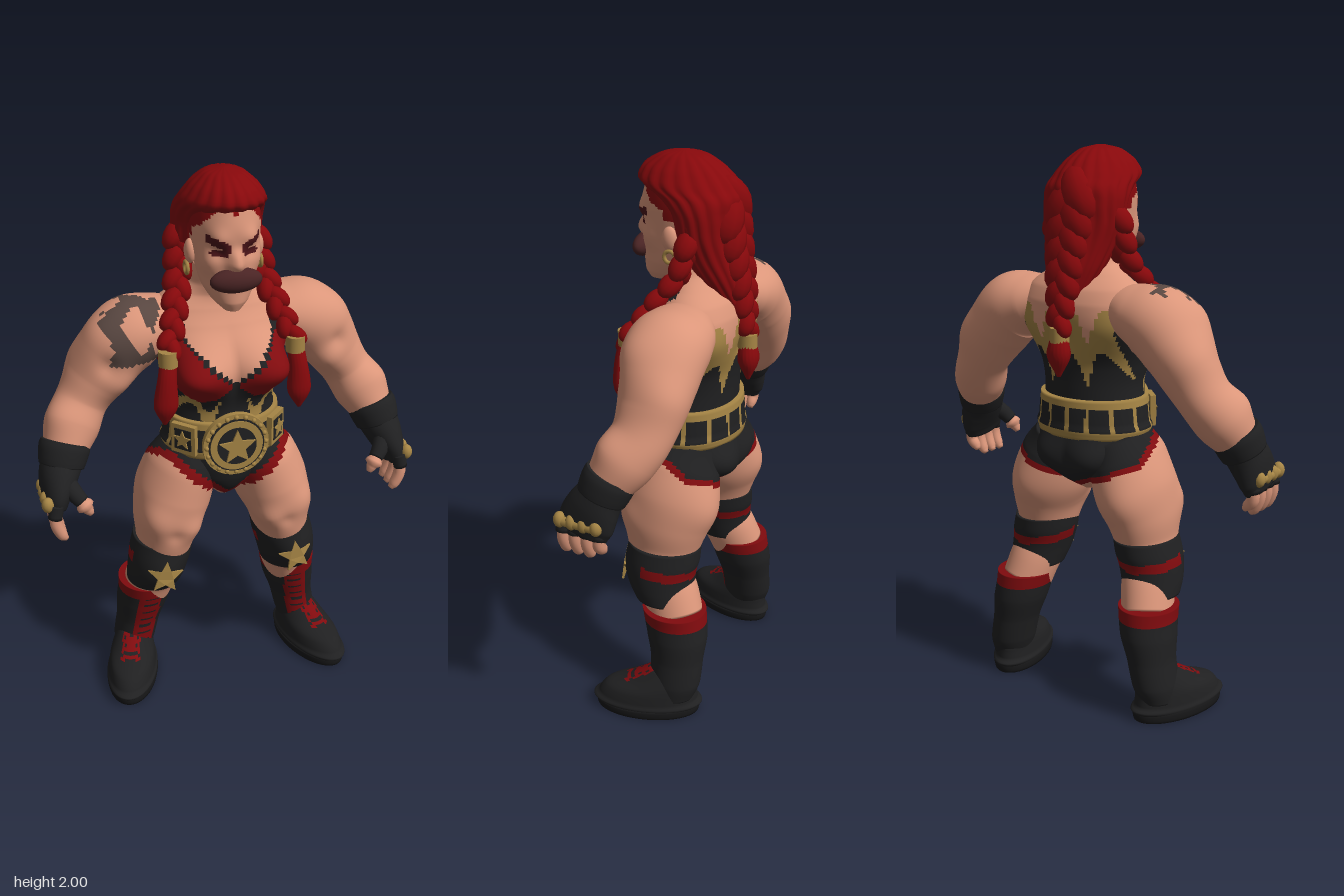
import * as THREE from 'three';

const mat = (name, color) => Object.assign(new THREE.MeshStandardMaterial({ color }), { name });
const M = {
  skin: mat('skin', 0xdb967a), hair: mat('hairRed', 0x87080b), red: mat('costumeRed', 0x800b0e),
  black: mat('costumeBlack', 0x202021), gold: mat('gold', 0xa68545), ink: mat('tattooInk', 0x594741),
  mouth: mat('mouthDark', 0x4a2424), brow: mat('browDark', 0x4c1418), sole: mat('soleBlack', 0x171718),
};
const V = (x, y, z) => new THREE.Vector3(x, y, z);
const put = (parent, name, geo, m, x = 0, y = 0, z = 0) => {
  const mesh = new THREE.Mesh(geo, m);
  mesh.name = name;
  mesh.position.set(x, y, z);
  parent.add(mesh);
  return mesh;
};
const group = (parent, name) => {
  const g = new THREE.Group();
  g.name = name;
  parent.add(g);
  return g;
};

// Closed skin over smooth rings [x, y, z, width radius, depth radius].
// paint picks a colour per face, bumps [x, y, z, size, height] are mirrored swellings.
function loft(parent, name, pts, paint, { s = 1, n = 24, rows = 24, flat = false, bumps = [], groove = 0 } = {}) {
  const path = new THREE.CatmullRomCurve3(pts.map(p => V(p[0] * s, p[1], p[2])));
  const radii = new THREE.CatmullRomCurve3(pts.map(p => V(p[3], p[4], 0)));
  const pos = [], faces = new Map(), down = Math.sign(pts.at(-1)[1] - pts[0][1]);
  for (let i = -1; i <= rows + 1; i++) {
    const k = Math.min(Math.max(i / rows, 0), 1), c = path.getPoint(k), r = radii.getPoint(k);
    const t = flat ? V(0, down, 0) : path.getTangent(k);
    const v = V(0, 0, 1).addScaledVector(t, -t.z).normalize(), u = v.clone().cross(t);
    const end = i < 0 || i > rows ? 0.001 : 1;
    for (let j = 0; j < n; j++) {
      const a = j / n * Math.PI * 2, g = end * (1 + groove * Math.abs(Math.sin(a * 9 + k * 3)));
      const d = u.clone().multiplyScalar(Math.cos(a) * r.x * g).addScaledVector(v, Math.sin(a) * r.y * g);
      const p = c.clone().add(d), q = V(Math.abs(p.x), p.y, p.z);
      d.normalize();
      for (const [x, y, z, size, h] of bumps)
        p.addScaledVector(d, end * h * Math.exp(-q.distanceToSquared(V(x, y, z)) / size ** 2));
      pos.push(p.x, p.y, p.z);
    }
  }
  const at = i => V(pos[i * 3], pos[i * 3 + 1], pos[i * 3 + 2]);
  for (let i = 0; i < rows + 2; i++) for (let j = 0; j < n; j++) {
    const a = i * n + j, b = i * n + (j + 1) % n, c = b + n, d = a + n;
    const m = typeof paint === 'function' ? paint(at(a).add(at(c)).multiplyScalar(0.5)) : paint;
    if (!faces.has(m)) faces.set(m, []);
    faces.get(m).push(a, b, d, b, c, d);
  }
  const geo = new THREE.BufferGeometry(), index = [], mats = [...faces.keys()];
  mats.forEach((m, i) => {
    geo.addGroup(index.length, faces.get(m).length, i);
    for (const f of faces.get(m)) index.push(f);
  });
  geo.setAttribute('position', new THREE.Float32BufferAttribute(pos, 3));
  geo.setIndex(index);
  geo.computeVertexNormals();
  return put(parent, name, geo, mats.length > 1 ? mats : mats[0]);
}

// Overlapping alternating locks along a curve
function braid(parent, name, pts, r0, r1, count) {
  const g = group(parent, name), curve = new THREE.CatmullRomCurve3(pts.map(p => V(...p)));
  for (let i = 0; i < count; i++) {
    const k = i / (count - 1), r = r0 + (r1 - r0) * k, side = i % 2 ? 1 : -1;
    const c = curve.getPointAt(k);
    const lock = put(g, 'lock', new THREE.SphereGeometry(r, 12, 9), M.hair, c.x + side * r * 0.35, c.y, c.z);
    lock.quaternion.setFromUnitVectors(V(0, -1, 0), curve.getTangentAt(k));
    lock.rotateZ(side * 0.5);
    lock.scale.set(0.8, 1.25, 0.9);
  }
}
// Thin star, its tips curved back by bend
function starGeo(r, bend = 0) {
  const pts = [...Array(10).keys()].map(i => {
    const a = i * Math.PI / 5, q = i % 2 ? r * 0.45 : r;
    return new THREE.Vector2(Math.sin(a) * q, Math.cos(a) * q);
  });
  const geo = new THREE.ExtrudeGeometry(new THREE.Shape(pts), { depth: 0.008, bevelEnabled: false });
  const p = geo.attributes.position;
  for (let i = 0; i < p.count; i++) p.setZ(i, p.getZ(i) - bend * p.getX(i) ** 2);
  geo.computeVertexNormals();
  return geo;
}

// Costume painting rules
const briefs = p => {
  const x = Math.abs(p.x), f = Math.min(Math.max((p.z + 0.1) / 0.2, 0), 1);
  const line = f * (0.79 + 0.93 * x) + (1 - f) * (0.81 + 0.4 * x);
  return p.y > line + 0.022 + 0.022 * f ? M.black : p.y > line ? M.red : M.skin;
};
const outfit = p => {
  const x = Math.abs(p.x), y = p.y;
  if (y < 1.06) return briefs(p);
  if (p.z > -0.02) {
    const top = x < 0.17 ? 1.3 + 0.95 * x : 1.46 - (x - 0.17) * 1.2;
    if (y > top) return Math.abs(x - 0.165) < 0.016 && y < 1.57 ? M.black : M.skin;
    if (y > top - 0.016) return M.black;
    if (x > 0.02 && y > 1.235 + 6 * (x - 0.11) ** 2) return M.red;
    return x > 0.05 && x < 0.18 && Math.abs(y - 1.2 - 0.045 * Math.sin(x * 55)) < 0.027 ? M.gold : M.black;
  }
  const wave = Math.abs(Math.sin(x * 26 + 0.5)), top = 1.33 + 0.14 * wave;
  if (x > 0.19) return y < 1.4 ? M.black : M.skin;
  if (y > top) return M.skin;
  return y > 1.19 + 0.13 * Math.abs(Math.sin(x * 26 + 1.2)) ? M.gold : M.black;
};
const tattoo = p => {
  const d = Math.hypot((p.x + 0.32) / 0.1, (p.z + 0.005) / 0.115);
  const swirl = Math.sin(p.x * 50 + 2 * Math.sin(p.z * 32)) + Math.sin(p.z * 45 + p.y * 25 + 1);
  return p.y > 1.36 && d < 1 && swirl > -0.25 ? M.ink : M.skin;
};
const face = p => {
  const x = Math.abs(p.x), y = p.y, peak = Math.max(0, 0.02 - x);
  if (y > 1.895 - peak - 1.2 * Math.max(0, x - 0.055) || (p.z < 0.06 && y > 1.79)) return M.hair;
  if (p.z < 0.08) return M.skin;
  if (x > 0.015 && x < 0.088 && Math.abs(y - 1.788 - 0.4 * (x - 0.05)) < 0.014) return M.brow;
  return Math.hypot((x - 0.052) / 0.029, (y - 1.757) / 0.013) < 1 ? M.brow : M.skin;
};
const boot = p => {
  const dx = Math.abs(Math.abs(p.x) - 0.35 + 0.18 * p.y);
  if (p.y > 0.365) return M.red;
  return p.z > -0.06 && dx < 0.044 && !(p.y % 0.036 < 0.01 && dx < 0.026) ? M.red : M.black;
};

function buildHead(root) {
  const g = group(root, 'head');
  loft(g, 'face', [[0, 1.555, 0.125, 0.03, 0.04], [0, 1.585, 0.1, 0.062, 0.078], [0, 1.63, 0.07, 0.088, 0.11],
    [0, 1.69, 0.05, 0.102, 0.13], [0, 1.76, 0.04, 0.112, 0.14], [0, 1.83, 0.035, 0.117, 0.147],
    [0, 1.89, 0.03, 0.112, 0.14], [0, 1.94, 0.03, 0.08, 0.1], [0, 1.97, 0.03, 0.02, 0.03]], face,
  { n: 80, rows: 80, flat: true, bumps: [[0, 1.72, 0.18, 0.025, 0.03], [0, 1.75, 0.18, 0.02, 0.015],
    [0.08, 1.72, 0.13, 0.04, 0.012], [0.05, 1.805, 0.165, 0.03, 0.012], [0.052, 1.757, 0.16, 0.022, -0.01]] });
  put(g, 'mouth', new THREE.SphereGeometry(1, 28, 16), M.mouth, 0, 1.668, 0.178).scale.set(0.088, 0.042, 0.036);
  // Swept back hair with combed grooves
  loft(g, 'hair', [[0, 2, 0.035, 0.01, 0.015], [0, 1.987, 0.035, 0.06, 0.075], [0, 1.95, 0.035, 0.103, 0.135],
    [0, 1.905, 0.022, 0.133, 0.162], [0, 1.865, -0.025, 0.145, 0.14], [0, 1.82, -0.05, 0.15, 0.112],
    [0, 1.75, -0.06, 0.147, 0.103], [0, 1.68, -0.075, 0.13, 0.1], [0, 1.6, -0.11, 0.105, 0.085],
    [0, 1.5, -0.155, 0.06, 0.05]], M.hair, { n: 90, rows: 40, flat: true, groove: 0.055 });
  braid(g, 'backBraid', [[0, 1.84, -0.11], [0, 1.7, -0.14], [0, 1.55, -0.175], [0, 1.41, -0.2]], 0.085, 0.038, 13);
  put(g, 'backTie', new THREE.CylinderGeometry(0.034, 0.034, 0.05, 20), M.gold, 0, 1.375, -0.2);
  loft(g, 'backTassel', [[0, 1.37, -0.2, 0.028, 0.025], [0, 1.31, -0.205, 0.04, 0.033], [0, 1.23, -0.205, 0.006, 0.006]],
    M.hair, { n: 36, rows: 14, groove: 0.12 });
  for (const s of [1, -1]) {
    put(g, 'ear', new THREE.SphereGeometry(1, 16, 12), M.skin, s * 0.115, 1.73, 0.035).scale.set(0.02, 0.042, 0.028);
    put(g, 'earring', new THREE.TorusGeometry(0.02, 0.007, 8, 20), M.gold, s * 0.127, 1.672, 0.03).rotation.y = Math.PI / 2;
    braid(g, 'sideBraid', [[s * 0.13, 1.76, -0.05], [s * 0.148, 1.62, -0.01], [s * 0.18, 1.52, 0.065], [s * 0.215, 1.43, 0.13]],
      0.045, 0.035, 12);
    put(g, 'braidTie', new THREE.CylinderGeometry(0.033, 0.033, 0.055, 20), M.gold, s * 0.222, 1.405, 0.142);
    loft(g, 'tassel', [[0.222, 1.39, 0.145, 0.026, 0.024], [0.23, 1.33, 0.155, 0.03, 0.026],
      [0.236, 1.24, 0.155, 0.038, 0.03], [0.24, 1.165, 0.15, 0.006, 0.006]], M.hair, { s, n: 36, rows: 18, groove: 0.12 });
  }
}

function buildTorso(root) {
  const g = group(root, 'torso');
  loft(g, 'body', [[0, 0.79, 0, 0.03, 0.05], [0, 0.84, -0.01, 0.08, 0.12], [0, 0.9, -0.015, 0.165, 0.155],
    [0, 0.97, -0.01, 0.21, 0.163], [0, 1.03, 0, 0.202, 0.162], [0, 1.1, 0.003, 0.193, 0.158], [0, 1.18, 0, 0.187, 0.155],
    [0, 1.26, 0, 0.2, 0.16], [0, 1.34, -0.015, 0.225, 0.165], [0, 1.42, -0.03, 0.255, 0.16], [0, 1.48, -0.045, 0.25, 0.145],
    [0, 1.53, -0.05, 0.215, 0.122], [0, 1.57, -0.04, 0.145, 0.1], [0, 1.61, -0.02, 0.107, 0.092], [0, 1.68, 0, 0.095, 0.088]],
  outfit, { n: 112, rows: 120, flat: true, bumps: [[0.1, 1.34, 0.16, 0.085, 0.122], [0.09, 0.92, -0.16, 0.08, 0.035],
    [0.16, 1.4, -0.13, 0.08, 0.02], [0.13, 1.54, -0.05, 0.06, 0.025], [0, 1.35, -0.18, 0.05, -0.015]] });
  // Championship belt
  const belt = p => {
    const a = Math.atan2(p.x, p.z) * 7 / Math.PI;
    return Math.abs(p.y - 1.075) > 0.043 || a - Math.floor(a) < 0.2 ? M.gold : M.black;
  };
  loft(g, 'belt', [[0, 1.005, 0, 0.213, 0.176], [0, 1.05, 0, 0.213, 0.176], [0, 1.1, 0, 0.208, 0.174],
    [0, 1.145, 0, 0.203, 0.17]], belt, { n: 140, rows: 14, flat: true });
  for (const [r, z, m] of [[0.118, 0.182, M.gold], [0.1, 0.187, M.black], [0.094, 0.19, M.gold], [0.07, 0.194, M.black]])
    put(g, 'beltDisc', new THREE.CylinderGeometry(r, r, 0.02, 48), m, 0, 1.07, z).rotation.x = Math.PI / 2;
  put(g, 'beltStar', starGeo(0.068), M.gold, 0, 1.067, 0.203);
  for (let i = 0; i < 20; i++) {
    const a = i * Math.PI / 10;
    put(g, 'beltStud', new THREE.SphereGeometry(0.009, 8, 6), M.gold, Math.cos(a) * 0.106, 1.07 + Math.sin(a) * 0.106, 0.193);
  }
  for (const s of [1, -1]) {
    const plate = group(g, 'beltSidePlate');
    plate.position.set(s * 0.165, 1.08, 0.118);
    plate.rotation.y = s * 0.8;
    put(plate, 'plateFrame', new THREE.BoxGeometry(0.095, 0.11, 0.02), M.gold);
    put(plate, 'plateInset', new THREE.BoxGeometry(0.066, 0.078, 0.006), M.black, 0, 0, 0.01);
    put(plate, 'plateStar', starGeo(0.036), M.gold, 0, 0, 0.01);
  }
}

function buildArm(root, s) {
  const g = group(root, s > 0 ? 'leftArm' : 'rightArm');
  loft(g, 'arm', [[0.14, 1.47, -0.05, 0.07, 0.09], [0.22, 1.455, -0.05, 0.1, 0.13], [0.31, 1.425, -0.052, 0.127, 0.142],
    [0.385, 1.35, -0.058, 0.118, 0.13], [0.44, 1.27, -0.058, 0.1, 0.114], [0.49, 1.195, -0.048, 0.09, 0.104],
    [0.53, 1.13, -0.015, 0.096, 0.102], [0.565, 1.06, 0.025, 0.08, 0.085], [0.585, 1, 0.05, 0.06, 0.065]],
  s < 0 ? tattoo : M.skin, { s, n: 56, rows: 72, bumps: [[0.37, 1.27, 0.07, 0.06, 0.026], [0.41, 1.44, 0, 0.07, 0.018],
    [0.47, 1.32, -0.12, 0.07, 0.02], [0.57, 1.17, 0.02, 0.05, 0.016], [0.41, 1.36, 0.07, 0.035, -0.014]] });
  loft(g, 'glove', [[0.568, 1.07, 0.025, 0.076, 0.082], [0.585, 1.02, 0.045, 0.074, 0.08], [0.605, 0.97, 0.07, 0.066, 0.093],
    [0.62, 0.92, 0.09, 0.052, 0.1], [0.627, 0.88, 0.1, 0.04, 0.088]], M.black, { s });
  loft(g, 'wristWrap', [[0.564, 1.08, 0.022, 0.085, 0.088], [0.571, 1.06, 0.03, 0.089, 0.092],
    [0.582, 1.025, 0.043, 0.084, 0.089], [0.588, 1.005, 0.05, 0.079, 0.085]], M.black, { s, rows: 14 });
  const bar = put(g, 'knuckleBar', new THREE.CapsuleGeometry(0.018, 0.13, 4, 12), M.gold, s * 0.658, 0.922, 0.1);
  bar.rotation.x = Math.PI / 2;
  for (let i = 0; i < 4; i++) {
    const z = 0.034 + i * 0.045, l = i === 0 ? 0.025 : 0;
    loft(g, 'gloveFinger', [[0.628, 0.92, z, 0.026, 0.025], [0.638, 0.87, z + 0.003, 0.025, 0.025]], M.black, { s, n: 14, rows: 5 });
    loft(g, 'finger', [[0.635, 0.89, z, 0.021, 0.021], [0.635, 0.845, z + 0.004, 0.022, 0.022],
      [0.618, 0.8 + l, z + 0.004, 0.02, 0.02], [0.604, 0.783 + l, z + 0.004, 0.01, 0.011]], M.skin, { s, n: 14, rows: 10 });
    put(g, 'knuckleStud', new THREE.SphereGeometry(0.026, 12, 8), M.gold, s * 0.658, 0.925, z).scale.set(0.85, 1.1, 0.85);
  }
  loft(g, 'gloveThumb', [[0.59, 0.98, 0.11, 0.035, 0.035], [0.56, 0.94, 0.15, 0.03, 0.03], [0.54, 0.915, 0.165, 0.026, 0.026]],
    M.black, { s, n: 16, rows: 10 });
  loft(g, 'thumb', [[0.545, 0.92, 0.162, 0.021, 0.021], [0.525, 0.89, 0.172, 0.021, 0.021], [0.512, 0.868, 0.175, 0.01, 0.01]],
    M.skin, { s, n: 14, rows: 8 });
}

function buildLeg(root, s) {
  const g = group(root, s > 0 ? 'leftLeg' : 'rightLeg');
  loft(g, 'leg', [[0.12, 1, -0.01, 0.09, 0.13], [0.148, 0.92, 0, 0.128, 0.16], [0.182, 0.82, 0, 0.138, 0.17],
    [0.212, 0.72, 0.01, 0.122, 0.155], [0.225, 0.63, 0.015, 0.104, 0.135], [0.245, 0.53, 0.01, 0.095, 0.11],
    [0.262, 0.45, -0.03, 0.093, 0.105], [0.278, 0.38, -0.055, 0.09, 0.105]], briefs,
  { s, n: 56, rows: 64, bumps: [[0.27, 0.76, 0.12, 0.06, 0.02], [0.15, 0.71, 0.13, 0.055, 0.022],
    [0.22, 0.78, -0.16, 0.08, 0.014], [0.21, 0.7, 0.17, 0.03, -0.01]] });
  // Knee pad with a red rear strap and a star
  const pad = p => p.z < 0.05 && Math.abs(p.y - 0.565 - 0.1 * p.z) < 0.018 ? M.red : M.black;
  loft(g, 'kneePad', [[0.226, 0.642, 0.008, 0.11, 0.136], [0.236, 0.59, 0.01, 0.114, 0.136], [0.247, 0.54, 0.012, 0.112, 0.128],
    [0.257, 0.485, 0.005, 0.107, 0.122], [0.264, 0.44, -0.01, 0.1, 0.112]], pad,
  { s, n: 48, rows: 28, flat: true, bumps: [[0.25, 0.53, 0.13, 0.06, 0.014]] });
  const star = put(g, 'kneeStar', starGeo(0.068, 4), M.gold, s * 0.252, 0.53, 0.15);
  star.rotation.set(-0.08, s * 0.08, s * 0.12);
  loft(g, 'bootShaft', [[0.283, 0.412, -0.055, 0.106, 0.118], [0.287, 0.37, -0.062, 0.102, 0.117],
    [0.297, 0.31, -0.073, 0.098, 0.113], [0.315, 0.22, -0.08, 0.083, 0.099], [0.333, 0.13, -0.08, 0.079, 0.096],
    [0.342, 0.07, -0.075, 0.068, 0.08]], boot, { s, n: 56, rows: 60, flat: true });
  const foot = group(g, 'foot');
  foot.position.set(s * 0.345, 0, -0.05);
  foot.rotation.y = s * 0.3;
  const upper = p => Math.abs(p.x) < 0.034 && p.z > 0.03 && p.z < 0.15 && p.y > 0.08 && p.z % 0.03 > 0.008 ? M.red : M.black;
  loft(foot, 'bootFoot', [[0, 0.18, -0.02, 0.05, 0.075], [0, 0.13, 0.015, 0.074, 0.125], [0, 0.095, 0.055, 0.086, 0.17],
    [0, 0.05, 0.07, 0.092, 0.188], [0, 0.02, 0.07, 0.092, 0.188]], upper, { n: 48, rows: 26, flat: true });
  loft(foot, 'sole', [[0, 0.034, 0.07, 0.097, 0.193], [0, 0.017, 0.07, 0.098, 0.194], [0, 0, 0.07, 0.095, 0.19]],
    M.sole, { n: 48, rows: 4, flat: true });
}

export function createModel() {
  const root = new THREE.Group();
  root.name = 'wrestler';
  buildHead(root);
  buildTorso(root);
  for (const s of [1, -1]) {
    buildArm(root, s);
    buildLeg(root, s);
  }
  return root;
}
